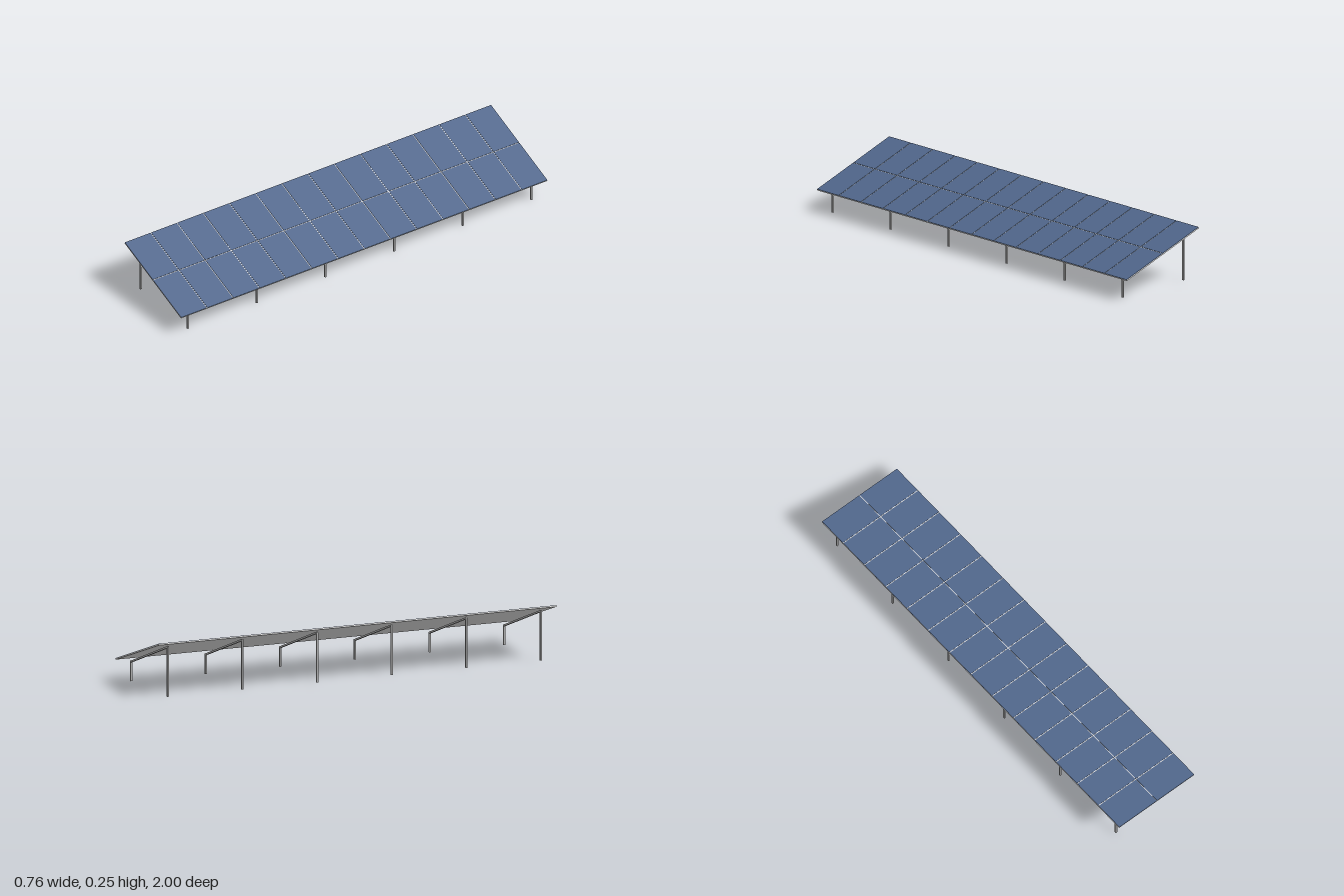
import * as THREE from 'three';

export function createModel() {
  const makeMaterial = (name, color) => {
    const material = new THREE.MeshStandardMaterial({ color });
    material.name = name;
    return material;
  };
  const glass = makeMaterial('panelBlue', 0x50668b);
  const sheet = makeMaterial('sheetLightGrey', 0xd8d8d8);
  const metal = makeMaterial('metalGrey', 0xaaaaaa);

  const model = new THREE.Group();
  model.name = 'solarArray';
  const array = new THREE.Group();
  array.name = 'turnedArray';
  array.rotation.y = -0.163;
  model.add(array);

  // Tilted table: a light backing sheet that shows between the blue panels
  const table = new THREE.Group();
  table.name = 'panelTable';
  table.position.y = 0.1735;
  table.rotation.z = -0.321;
  array.add(table);

  const columns = 14, length = 1.951, width = 0.4725, gap = 0.004;
  const backing = new THREE.Mesh(new THREE.BoxGeometry(width, 0.0055, length), sheet);
  backing.name = 'backingSheet';
  backing.position.y = -0.00075;
  table.add(backing);

  // Thin panels, 2 x 14
  const pitchZ = (length + gap) / columns;
  const pitchX = (width + gap) / 2;
  const panelGeo = new THREE.BoxGeometry(pitchX - gap, 0.0015, pitchZ - gap);
  for (let row = 0; row < 2; row++) {
    for (let col = 0; col < columns; col++) {
      const panel = new THREE.Mesh(panelGeo, glass);
      panel.name = 'solarPanel';
      panel.position.set((row - 0.5) * pitchX, 0.00275, (col - (columns - 1) / 2) * pitchZ);
      table.add(panel);
    }
  }

  // Support frames: a tall post, a short post and a sloping rafter
  const reach = 0.1885, bar = 0.008, tall = 0.226, low = 0.09;
  const addBar = (name, parent, w, h, x, y) => {
    const mesh = new THREE.Mesh(new THREE.BoxGeometry(w, h, bar), metal);
    mesh.name = name;
    mesh.position.set(x, y, 0);
    parent.add(mesh);
    return mesh;
  };
  for (let i = 0; i < 6; i++) {
    const frame = new THREE.Group();
    frame.name = 'supportFrame';
    frame.position.z = (i - 2.5) * 0.366;
    addBar('tallPost', frame, bar, tall, -reach, tall / 2);
    addBar('shortPost', frame, bar, low, reach, low / 2);
    const drop = tall - low;
    const rafter = addBar('rafter', frame, Math.hypot(2 * reach, drop) + 0.006, bar, 0, (tall + low) / 2 - 0.002);
    rafter.rotation.z = -Math.atan2(drop, 2 * reach);
    array.add(frame);
  }
  return model;
}
